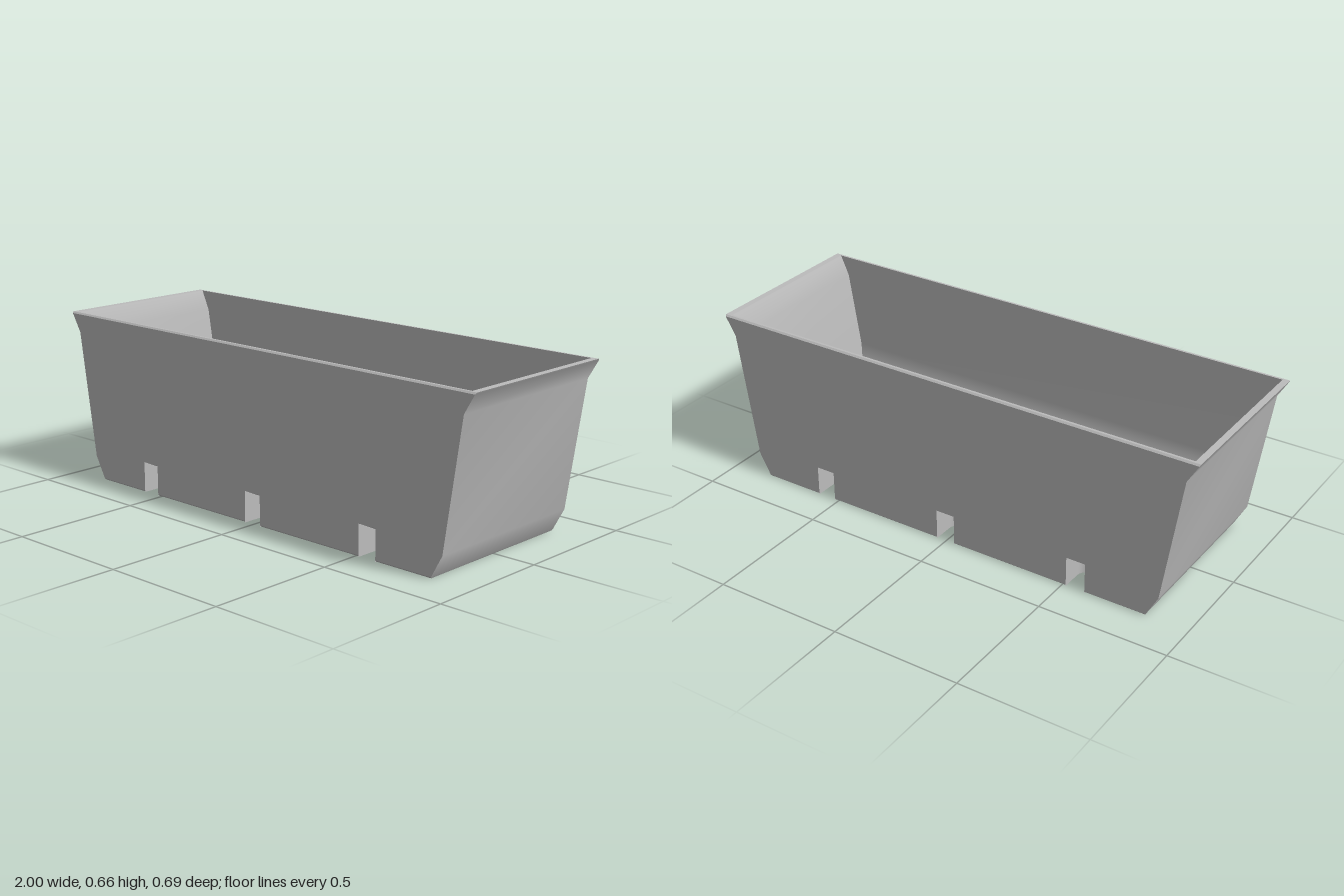
import * as THREE from 'three';

const TOP = 0.657, HALF_DEPTH = 0.345, BEVEL = 0.006;
const SLOT_X = [-0.553, 0, 0.553], SLOT_W = 0.038, SLOT_H = 0.12, SLOT_STRAIGHT = 0.08;

// right-hand outline of the trough, bottom to top
const PROFILE = [[0.83, 0], [0.834, BEVEL], [0.88, 0.09], [0.955, 0.58], [0.997, TOP - BEVEL], [1, TOP]];

// smooth surface through rows of points
function strip(rows) {
  const n = rows[0].length, index = [];
  for (let r = 0; r < rows.length - 1; r++) {
    for (let i = 0; i < n - 1; i++) {
      const a = r * n + i, b = a + 1, c = b + n, d = a + n;
      index.push(a, b, c, a, c, d);
    }
  }
  const g = new THREE.BufferGeometry();
  g.setAttribute('position', new THREE.Float32BufferAttribute(rows.flat(2), 3));
  g.setIndex(index);
  g.computeVertexNormals();
  return g;
}

// plan of one drainage slot: in from the left, round the back, out on the right
function slotPath(cx, zStart) {
  const zc = HALF_DEPTH - SLOT_STRAIGHT, pts = [[cx - SLOT_W, zStart]];
  for (let i = 0; i <= 12; i++) {
    const a = Math.PI * (1 - i / 12);
    pts.push([cx + SLOT_W * Math.cos(a), zc - SLOT_W * Math.sin(a)]);
  }
  pts.push([cx + SLOT_W, zStart]);
  return pts;
}

const toShape = pts => new THREE.Shape(pts.map(p => new THREE.Vector2(p[0], p[1])));

export function createModel() {
  const model = new THREE.Group();
  model.name = 'planterTrough';
  const grey = new THREE.MeshStandardMaterial({ color: 0xbcbcbc, side: THREE.DoubleSide });
  grey.name = 'grey plastic';

  const add = (parent, name, geometry) => {
    const mesh = new THREE.Mesh(geometry, grey);
    mesh.name = name;
    parent.add(mesh);
  };

  // cavity cross-sections: half width, half depth, height; then a rounded floor edge
  const levels = [[0.975, 0.33, TOP], [0.94, 0.33, 0.58], [0.89, 0.33, 0.28]];
  const R = 0.26;
  for (let i = 1; i <= 12; i++) {
    const a = (i / 12) * Math.PI / 2, inset = R * (1 - Math.cos(a));
    levels.push([0.89 - inset, 0.33 - inset, 0.28 - R * Math.sin(a)]);
  }

  // each half holds one long wall and one end; the second is turned round
  ['front', 'back'].forEach((label, k) => {
    const half = new THREE.Group();
    half.name = label + 'Half';
    half.rotation.y = k * Math.PI;
    model.add(half);

    // outer end
    add(half, 'outerEnd', strip(PROFILE.map(([x, y], i) => {
      const z = i === 0 || i === PROFILE.length - 1 ? HALF_DEPTH - BEVEL : HALF_DEPTH;
      return [[x, y, z], [x, y, -z]];
    })));

    // long outer wall with slot openings
    const outline = [];
    const side = PROFILE.slice(1, -1);
    outline.push([-side[0][0], BEVEL]);
    SLOT_X.forEach(cx => outline.push(
      [cx - SLOT_W, BEVEL], [cx - SLOT_W, SLOT_H], [cx + SLOT_W, SLOT_H], [cx + SLOT_W, BEVEL]));
    outline.push(...side, ...side.slice(1).reverse().map(([x, y]) => [-x, y]));
    add(half, 'longWall', new THREE.ShapeGeometry(toShape(outline)).translate(0, 0, HALF_DEPTH));

    // bevelled edges along the top and between the slots
    const zIn = HALF_DEPTH - BEVEL;
    add(half, 'topBevel', strip([
      [[-0.997, TOP - BEVEL, HALF_DEPTH], [0.997, TOP - BEVEL, HALF_DEPTH]],
      [[-1, TOP, zIn], [1, TOP, zIn]]]));
    const stops = [-0.832, ...SLOT_X.flatMap(c => [c - SLOT_W, c + SLOT_W]), 0.832];
    for (let i = 0; i < stops.length; i += 2) {
      const [a, b] = [stops[i], stops[i + 1]];
      add(half, 'bottomBevel', strip([
        [[a, 0, zIn], [b, 0, zIn]],
        [[a, BEVEL, HALF_DEPTH], [b, BEVEL, HALF_DEPTH]]]));
    }

    // slots: round-backed walls under a sloping ceiling
    const slope = z => SLOT_H - 0.055 * (HALF_DEPTH - z) / (SLOT_STRAIGHT + SLOT_W);
    SLOT_X.forEach(cx => {
      const path = slotPath(cx, HALF_DEPTH);
      add(half, 'slotWall', strip([
        path.map(([x, z]) => [x, 0, z]),
        path.map(([x, z]) => [x, slope(z), z])]));
      const rows = [];
      for (let i = 0; i < path.length / 2; i++) {
        const [xl, z] = path[i], xr = 2 * cx - xl;
        rows.push([[xr, slope(z), z], [xl, slope(z), z]]);
      }
      add(half, 'slotCeiling', strip(rows));
    });

    // cavity walls, mitred at the corners
    add(half, 'innerLongWall', strip(levels.map(([x, z, y]) => [[-x, y, z], [x, y, z]])));
    add(half, 'innerEnd', strip(levels.map(([x, z, y]) => [[x, y, z], [x, y, -z]])));
  });

  // cavity floor
  const [fx, fz, fy] = levels[levels.length - 1];
  add(model, 'innerFloor', new THREE.PlaneGeometry(2 * fx, 2 * fz).rotateX(-Math.PI / 2).translate(0, fy, 0));

  // flat rim
  const rect = (x, z) => [[-x, -z], [x, -z], [x, z], [-x, z]];
  const rim = toShape(rect(1, HALF_DEPTH - BEVEL));
  rim.holes.push(toShape(rect(0.975, 0.33)));
  add(model, 'rim', new THREE.ShapeGeometry(rim).rotateX(-Math.PI / 2).translate(0, TOP, 0));

  // underside cut by the slots on both long edges
  const zEdge = HALF_DEPTH - BEVEL;
  const edge = [[-0.83, zEdge], ...SLOT_X.flatMap(cx => slotPath(cx, zEdge)), [0.83, zEdge]];
  const base = toShape([...edge, ...edge.map(([x, z]) => [-x, -z])]);
  add(model, 'underside', new THREE.ShapeGeometry(base).rotateX(Math.PI / 2));

  return model;
}
